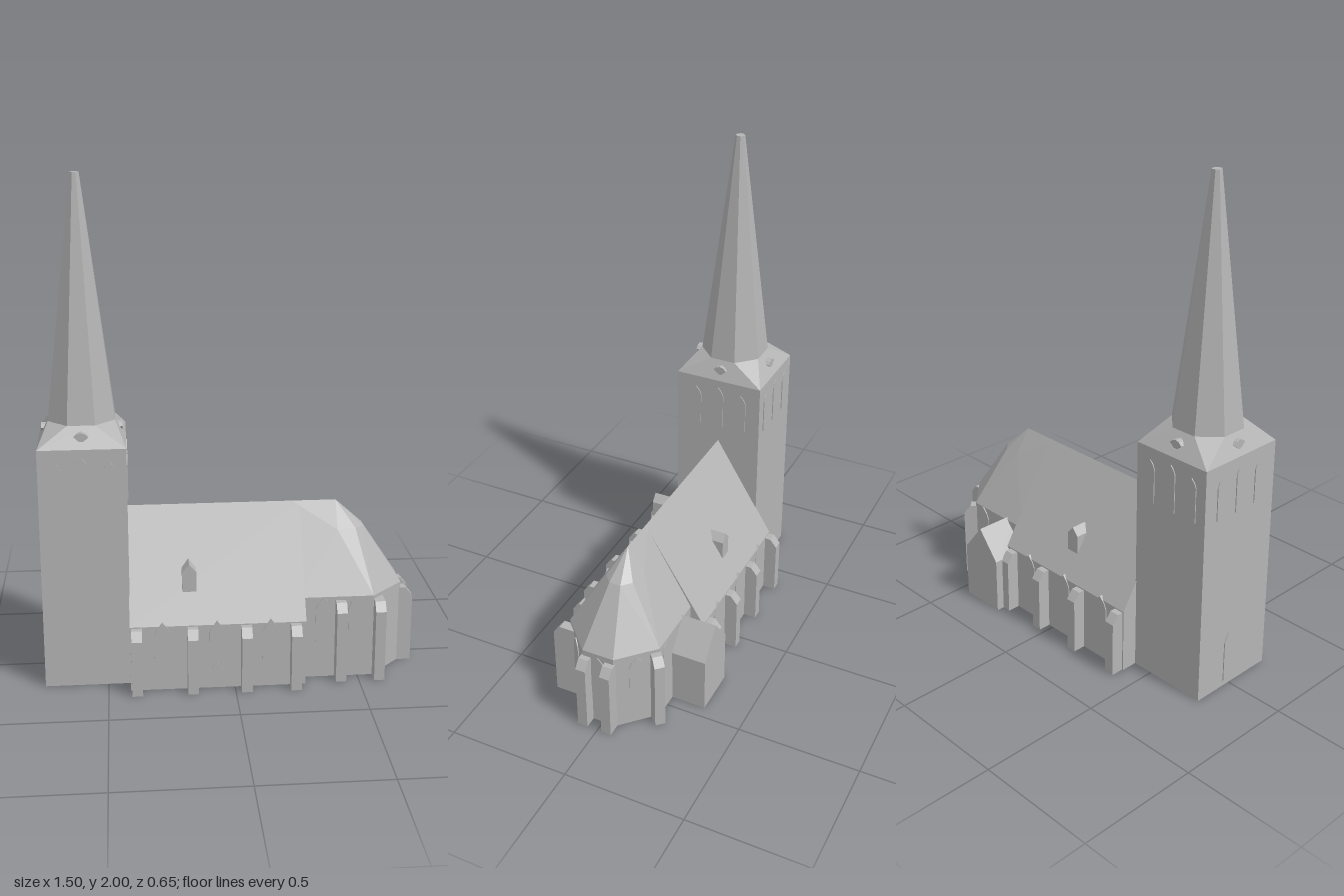
import * as THREE from 'three';
import { ConvexGeometry } from 'three/addons/geometries/ConvexGeometry.js';

const V = (x, y, z) => new THREE.Vector3(x, y, z);
const ZC = 0.013; // z of the ridge line
const FRONT = 0, BACK = Math.PI, LEFT = Math.PI / 2, RIGHT = -Math.PI / 2;

export function createModel() {
  const church = new THREE.Group();
  church.name = 'church';
  const stone = new THREE.MeshStandardMaterial({ color: 0xb4b4b4 });
  stone.name = 'grey stone';

  const add = (name, geometry, x = 0, y = 0, z = 0, turn = 0) => {
    const mesh = new THREE.Mesh(geometry, stone);
    mesh.name = name;
    mesh.position.set(x, y, z);
    mesh.rotation.y = turn;
    church.add(mesh);
    return mesh;
  };
  const extrude = (points, depth) => new THREE.ExtrudeGeometry(
    new THREE.Shape(points.map(([x, y]) => new THREE.Vector2(x, y))), { depth, bevelEnabled: false });

  // Pointed-arch panel whose face looks along the turn direction
  const arch = (name, x, y, z, turn, w, h, depth = 0.008) => {
    const s = h - w * 0.75;
    const geometry = extrude([[-w / 2, 0], [w / 2, 0], [w / 2, s], [w * 0.32, s + w * 0.4],
      [0, h], [-w * 0.32, s + w * 0.4], [-w / 2, s]], depth);
    geometry.translate(0, 0, 0.004 - depth);
    add(name, geometry, x, y, z, turn);
  };

  // Buttress with a weathered, sloping cap
  const buttress = (x, z, turn, h) => {
    const geometry = extrude([[-0.04, 0], [0.053, 0], [0.053, h - 0.035], [0.025, h], [-0.04, h]], 0.042);
    geometry.translate(0, 0, -0.021);
    geometry.rotateY(-Math.PI / 2);
    add('buttress', geometry, x, 0, z, turn);
  };

  // Tower
  const TX = -0.58, TZ = 0.016;
  add('tower', new THREE.BoxGeometry(0.34, 0.98, 0.38), TX, 0.49, TZ);
  for (const i of [-1, 0, 1]) {
    const h = i ? 0.175 : 0.19;
    arch('belfryOpening', TX + i * 0.103, 0.757, TZ + 0.19, FRONT, 0.044, h);
    arch('belfryOpening', TX + i * 0.103, 0.757, TZ - 0.19, BACK, 0.044, h);
    arch('belfryOpening', TX + 0.17, 0.757, TZ + i * 0.103, LEFT, 0.048, h);
    arch('belfryOpening', TX - 0.17, 0.757, TZ + i * 0.103, RIGHT, 0.048, h);
  }
  arch('westDoor', TX - 0.17, 0.02, TZ, RIGHT, 0.1, 0.25);

  // Spire: square skirt changing to a tall octagon
  const skirt = [];
  for (const sx of [-1, 1]) for (const sz of [-1, 1]) skirt.push(V(sx * 0.17, 0.98, sz * 0.19));
  for (let i = 0; i < 8; i++) {
    const a = (i + 0.5) * Math.PI / 4;
    skirt.push(V(0.14 * Math.sin(a), 1.058, 0.14 * Math.cos(a)));
  }
  add('spireSkirt', new ConvexGeometry(skirt), TX, 0, TZ);
  const spire = new THREE.CylinderGeometry(0.019, 0.14, 0.942, 8).toNonIndexed();
  spire.computeVertexNormals();
  add('spire', spire, TX, 1.529, TZ, Math.PI / 8);
  // Small diamond-fronted lucarnes on the skirt
  [[0, 0.17, FRONT], [0, -0.17, BACK], [0.158, 0, LEFT], [-0.158, 0, RIGHT]].forEach(([x, z, turn]) => {
    const geometry = extrude([[0, -0.02], [0.028, 0.005], [0.015, 0.017], [0, 0.022], [-0.015, 0.017], [-0.028, 0.005]], 0.05);
    geometry.translate(0, 0, -0.05);
    add('lucarne', geometry, TX + x, 1.018, TZ + z, turn);
  });

  // Nave with steep gabled roof
  const nave = extrude([[-0.27, 0], [0.242, 0], [0.242, 0.27], [-ZC, 0.685], [-0.27, 0.27]], 0.695);
  add('nave', nave, -0.413, 0, 0, Math.PI / 2);
  for (const x of [-0.387, -0.168, 0.044, 0.24]) {
    buttress(x, 0.27, FRONT, 0.265);
    buttress(x, -0.242, BACK, 0.265);
  }
  for (const x of [-0.285, -0.07, 0.142]) {
    arch('naveWindow', x, 0.115, 0.27, FRONT, 0.065, 0.17, 0.03);
    arch('naveWindow', x, 0.115, -0.242, BACK, 0.065, 0.17, 0.03);
  }
  arch('sideDoor', -0.07, 0.02, 0.27, FRONT, 0.046, 0.095);

  // Chancel and polygonal apse under a rounded hipped roof
  const plan = [[0.25, 0.198], [0.56, 0.198], [0.695, 0.067]];
  const ring = [[0.43, 0.067], [0.505, 0.058], [0.542, 0.024]];
  const chancel = [V(0.25, 0.685, ZC), V(0.43, 0.685, ZC)];
  for (const s of [-1, 1]) {
    for (const [x, z] of plan) chancel.push(V(x, 0, ZC + s * z), V(x, 0.345, ZC + s * z));
    for (const [x, z] of ring) chancel.push(V(x, 0.58, ZC + s * z));
  }
  add('chancel', new ConvexGeometry(chancel));
  buttress(0.427, 0.211, FRONT, 0.33);
  buttress(0.582, 0.211, FRONT, 0.33);
  buttress(0.572, -0.172, Math.PI * 0.75, 0.33);
  for (const s of [-1, 1]) buttress(0.692, ZC + s * 0.052, LEFT, 0.32);
  for (const x of [0.36, 0.492]) arch('chancelWindow', x, 0.155, 0.211, FRONT, 0.065, 0.19);
  arch('chancelWindow', 0.505, 0.155, -0.185, BACK, 0.065, 0.19);
  arch('apseWindow', 0.695, 0.145, ZC, LEFT, 0.06, 0.185);
  arch('apseWindow', 0.6275, 0.145, ZC + 0.1325, Math.PI / 4, 0.065, 0.185);
  arch('apseWindow', 0.6275, 0.145, ZC - 0.1325, Math.PI * 0.75, 0.065, 0.185);

  // Gabled sacristy at the back
  const sacristy = extrude([[-0.098, 0], [0.098, 0], [0.098, 0.235], [0, 0.355], [-0.098, 0.235]], 0.2);
  add('sacristy', sacristy, 0.353, 0, -0.328);

  // Roof dormers
  for (const [x, y, z, turn] of [[-0.175, 0.38, 0.2, FRONT], [-0.062, 0.36, -0.183, BACK]]) {
    const dormer = extrude([[-0.028, 0], [0.028, 0], [0.028, 0.085], [0, 0.117], [-0.028, 0.085]], 0.1);
    dormer.translate(0, 0, -0.1);
    add('dormer', dormer, x, y, z, turn);
  }
  return church;
}
